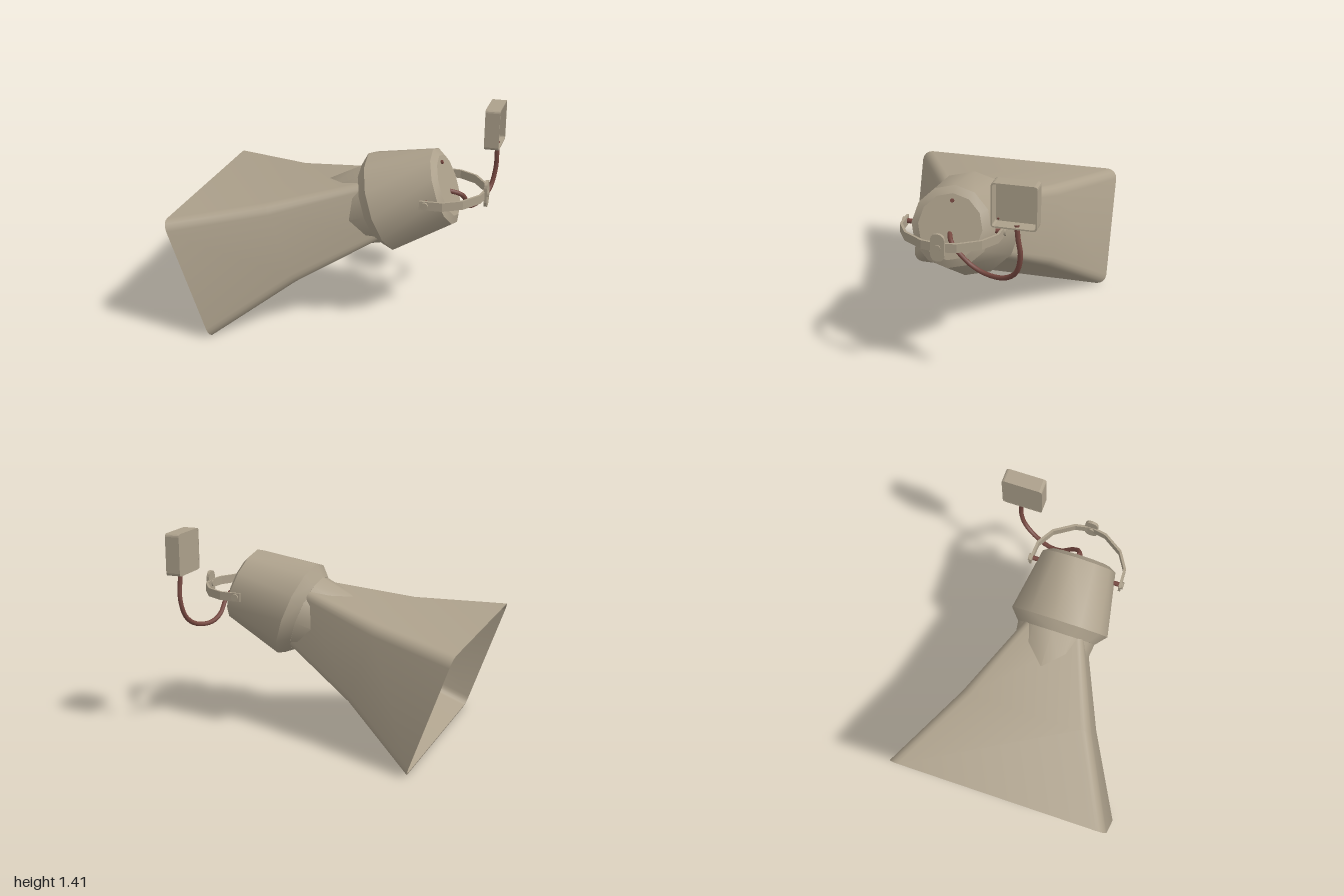
import * as THREE from 'three';
import { toCreasedNormals } from 'three/addons/utils/BufferGeometryUtils.js';

const metal = new THREE.MeshStandardMaterial({ color: 0xaca08b });
metal.name = 'beige metal';
const rust = new THREE.MeshStandardMaterial({ color: 0x764840 });
rust.name = 'red brown';

const V3 = (x, y, z) => new THREE.Vector3(x, y, z);

function add(parent, name, geometry, material = metal, pos = [0, 0, 0]) {
  const mesh = new THREE.Mesh(geometry, material);
  mesh.name = name;
  mesh.position.set(...pos);
  parent.add(mesh);
  return mesh;
}

// surface of revolution from [radius, height] pairs, listed upwards
function lathe(points, sides) {
  const profile = points.map(([r, h]) => new THREE.Vector2(r, h));
  return toCreasedNormals(new THREE.LatheGeometry(profile, sides), 0.6);
}

// rounded rectangle outline, w and h are half sizes
function roundedRect(w, h, r, steps = 4) {
  const points = [];
  for (let c = 0; c < 4; c++) {
    const cx = (c === 0 || c === 3 ? 1 : -1) * (w - r);
    const cy = (c < 2 ? 1 : -1) * (h - r);
    for (let i = 0; i <= steps; i++) {
      const a = (c + i / steps) * Math.PI / 2;
      points.push(new THREE.Vector2(cx + r * Math.cos(a), cy + r * Math.sin(a)));
    }
  }
  return points;
}

// flaring rectangular shell: inner wall out to the mouth, then outer wall back
function hornGeometry() {
  const stations = [[0, 0.43, 0.755, 0.07], [0.58, 0.29, 0.455, 0.07], [1.15, 0.207, 0.21, 0.05]];
  const wall = 0.014;
  const inner = stations.map(([s, h, w, r]) => [s, h - wall, w - wall, r - wall]).reverse();
  const rings = [...inner, ...stations];
  const position = [], index = [];
  let n = 0;
  rings.forEach(([s, h, w, r]) => {
    const ring = roundedRect(h, w, r);
    n = ring.length;
    ring.forEach((p) => position.push(p.x, s, p.y));
  });
  for (let j = 0; j < rings.length - 1; j++) {
    for (let i = 0; i < n; i++) {
      const a = j * n + i, b = j * n + (i + 1) % n;
      index.push(a, a + n, b, b, a + n, b + n);
    }
  }
  const g = new THREE.BufferGeometry();
  g.setAttribute('position', new THREE.Float32BufferAttribute(position, 3));
  g.setIndex(index);
  return toCreasedNormals(g, 0.6);
}

function extrude(shape, depth) {
  return new THREE.ExtrudeGeometry(shape, { depth, bevelEnabled: false, curveSegments: 6 });
}

export function createModel() {
  const model = new THREE.Group();
  model.name = 'hornLoudspeaker';

  // horn and driver share one tilted axis, local +y runs from mouth to rear
  const speaker = new THREE.Group();
  speaker.name = 'speaker';
  speaker.position.set(-0.855, 0.405, 0);
  speaker.rotation.z = -70 * Math.PI / 180;
  model.add(speaker);

  add(speaker, 'horn', hornGeometry());
  add(speaker, 'driverHousing', lathe([[0.26, 1.145], [0.278, 1.145], [0.345, 1.22], [0.262, 1.655], [0.21, 1.682]], 12));
  add(speaker, 'rearCap', lathe([[0.21, 1.682], [0, 1.682]], 12));
  add(speaker, 'frontCollar', lathe([[0.11, 0.7], [0.245, 0.9], [0.276, 1.146]], 12));
  add(speaker, 'innerHorn', lathe([[0, 0.18], [0.11, 0.18], [0.11, 0.72]], 12));
  add(speaker, 'capScrew', new THREE.CylinderGeometry(0.013, 0.013, 0.02, 8), rust, [-0.165, 1.685, 0]);

  // swivel strap around the rear
  const bracket = new THREE.Group();
  bracket.name = 'bracket';
  model.add(bracket);
  const half = [[0.6, 0.33], [0.75, 0.322], [0.87, 0.25], [0.96, 0.115], [0.982, 0]];
  const halfIn = [[0.6, 0.313], [0.745, 0.305], [0.858, 0.238], [0.945, 0.108], [0.966, 0]];
  const mirror = (pts) => [...pts, ...pts.slice(0, -1).reverse().map(([x, z]) => [x, -z])];
  const outline = [...mirror(half), ...mirror(halfIn).reverse()].map(([x, z]) => new THREE.Vector2(x, z));
  const strap = extrude(new THREE.Shape(outline), 0.058);
  strap.rotateX(-Math.PI / 2);
  add(bracket, 'strap', strap, metal, [0, 0.919, 0]);

  for (const side of [1, -1]) {
    const pin = add(bracket, 'pivotPin', new THREE.CylinderGeometry(0.016, 0.016, 0.12, 10), rust, [0.635, 0.948, side * 0.262]);
    const nut = add(bracket, 'pivotBolt', new THREE.CylinderGeometry(0.025, 0.025, 0.03, 12), metal, [0.635, 0.948, side * 0.326]);
    pin.rotation.x = nut.rotation.x = Math.PI / 2;
  }

  // mounting lug at the middle of the strap
  const lug = extrude(new THREE.Shape(roundedRect(0.045, 0.09, 0.04, 3)), 0.02);
  lug.rotateY(Math.PI / 2);
  add(bracket, 'mountingLug', lug, metal, [0.968, 0.95, 0]);
  const lugBolt = add(bracket, 'lugBolt', new THREE.CylinderGeometry(0.022, 0.022, 0.04, 10), metal, [0.974, 0.95, 0]);
  lugBolt.rotation.z = Math.PI / 2;

  // junction box, open towards +x
  const box = new THREE.Group();
  box.name = 'junctionBox';
  box.position.set(0.89, 1.27, -0.475);
  model.add(box);
  const frame = new THREE.Shape(roundedRect(0.141, 0.141, 0.02, 3));
  frame.holes.push(new THREE.Path(roundedRect(0.132, 0.132, 0.012, 3).reverse()));
  add(box, 'boxWalls', extrude(frame, 0.1).rotateY(Math.PI / 2));
  const back = new THREE.Shape(roundedRect(0.139, 0.139, 0.019, 3));
  add(box, 'boxBack', extrude(back, 0.008).rotateY(Math.PI / 2), metal, [0.0005, 0, 0]);
  for (const y of [-1, 1]) {
    for (const z of [-1, 1]) {
      const screw = add(box, 'boxScrew', new THREE.CylinderGeometry(0.007, 0.007, 0.012, 8), rust, [0.007, y * 0.12, z * 0.117]);
      screw.rotation.z = Math.PI / 2;
    }
  }

  // cable from the rear cap up into the box
  const path = new THREE.CatmullRomCurve3([
    V3(0.73, 0.94, 0), V3(0.8, 0.915, -0.03), V3(0.825, 0.86, -0.085), V3(0.825, 0.785, -0.165),
    V3(0.845, 0.745, -0.27), V3(0.895, 0.76, -0.4), V3(0.93, 0.825, -0.48),
    V3(0.952, 0.95, -0.51), V3(0.957, 1.06, -0.495), V3(0.957, 1.15, -0.487),
  ]);
  add(model, 'cable', new THREE.TubeGeometry(path, 30, 0.016, 8), rust);

  return model;
}
